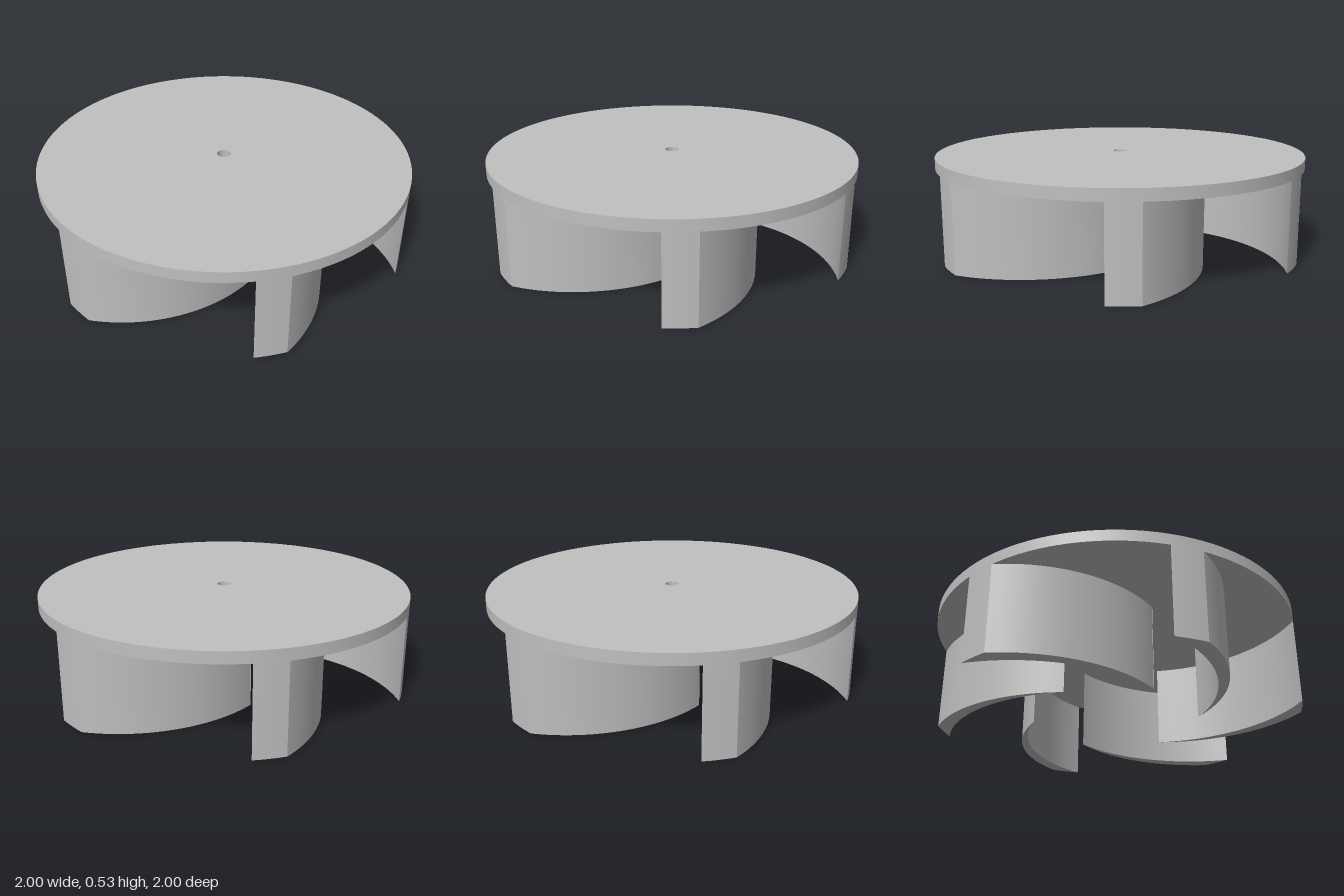
import * as THREE from 'three';
import { toCreasedNormals } from 'three/addons/utils/BufferGeometryUtils.js';

const PLATE_BOTTOM = 0.47;
const TOP = 0.53;
const BLADES = 6;

// Arc around a centre from one plan point to another
function arcTo(shape, center, from, to, clockwise) {
  const angle = (p) => Math.atan2(p[1] - center[1], p[0] - center[0]);
  const radius = Math.hypot(from[0] - center[0], from[1] - center[1]);
  shape.absarc(center[0], center[1], radius, angle(from), angle(to), clockwise);
}

// Extrude a plan outline (x, z) between two heights
function extrudePlan(shape, bottom, top, curveSegments) {
  const geometry = new THREE.ExtrudeGeometry(shape, {
    depth: top - bottom, bevelEnabled: false, curveSegments,
  });
  geometry.rotateX(Math.PI / 2);
  geometry.translate(0, top, 0);
  return toCreasedNormals(geometry, 0.4);
}

// Crescent blade: short end on the rim, convex back, hollow face, sharp inner tip
function bladeGeometry() {
  const rimStart = [-0.165, 0.986];
  const rimEnd = [0, 1];
  const tip = [0.398, 0.22];
  const shape = new THREE.Shape();
  shape.moveTo(...rimStart);
  arcTo(shape, [0, 0], rimStart, rimEnd, true);
  arcTo(shape, [-0.415, 0.299], rimEnd, tip, true);
  arcTo(shape, [-0.451, 0.186], tip, rimStart, false);
  return extrudePlan(shape, 0, PLATE_BOTTOM, 24);
}

// Round plate with a small shaft hole
function plateGeometry() {
  const shape = new THREE.Shape();
  shape.absarc(0, 0, 1, 0, Math.PI * 2, false);
  const hole = new THREE.Path();
  hole.absarc(0, 0, 0.037, 0, Math.PI * 2, true);
  shape.holes.push(hole);
  return extrudePlan(shape, PLATE_BOTTOM, TOP, 64);
}

export function createModel() {
  const model = new THREE.Group();
  model.name = 'impeller';
  const grey = new THREE.MeshStandardMaterial({ color: 0xc0c0c0 });
  grey.name = 'light grey';

  const plate = new THREE.Mesh(plateGeometry(), grey);
  plate.name = 'plate';
  model.add(plate);

  const blades = new THREE.Group();
  blades.name = 'blades';
  const geometry = bladeGeometry();
  for (let i = 0; i < BLADES; i++) {
    const blade = new THREE.Mesh(geometry, grey);
    blade.name = `blade${i + 1}`;
    blade.rotation.y = (i * Math.PI * 2) / BLADES;
    blades.add(blade);
  }
  model.add(blades);
  return model;
}
